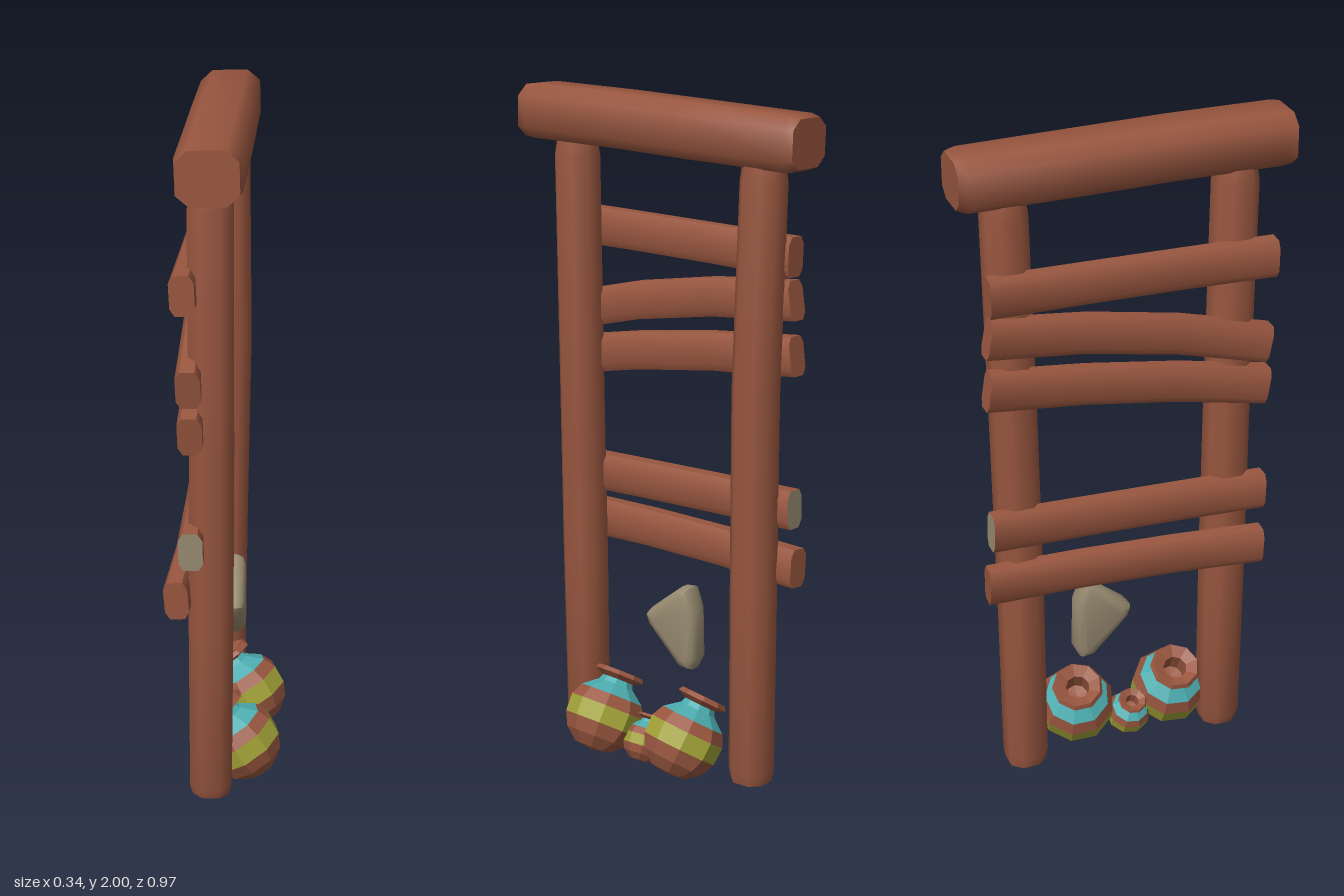
import * as THREE from 'three';
import { toCreasedNormals } from 'three/addons/utils/BufferGeometryUtils.js';

const material = (name, color) => {
  const m = new THREE.MeshStandardMaterial({ color });
  m.name = name;
  return m;
};

// Rough timber: rings of [x, y, z, scale] along a path; square < 1 makes the section boxier
function log(name, sections, rx, rz, square, mats) {
  const n = sections.length - 1;
  const geo = new THREE.CylinderGeometry(1, 1, 1, 8, n, false, Math.PI / 8);
  const first = new THREE.Vector3(...sections[0]);
  const axis = new THREE.Vector3(...sections[n]).sub(first).normalize();
  const turn = new THREE.Quaternion().setFromUnitVectors(new THREE.Vector3(0, 1, 0), axis);
  const pos = geo.attributes.position;
  const v = new THREE.Vector3();
  const k = Math.cos(Math.PI / 8);
  const shape = (a) => Math.sign(a) * Math.pow(Math.min(1, Math.abs(a) / k), square);
  for (let i = 0; i < pos.count; i++) {
    v.fromBufferAttribute(pos, i);
    const [x, y, z, s] = sections[Math.round((v.y + 0.5) * n)];
    v.set(shape(v.x) * rx * s, 0, shape(v.z) * rz * s).applyQuaternion(turn);
    pos.setXYZ(i, v.x + x, v.y + y, v.z + z);
  }
  const mesh = new THREE.Mesh(toCreasedNormals(geo, 1.0), mats);
  mesh.name = name;
  return mesh;
}

// Faceted pot: one lathe per coloured band, profile points are [radius, height]
function pot(name, bands, position, tiltX, tiltZ, scale) {
  const group = new THREE.Group();
  group.name = name;
  for (const [part, mat, profile] of bands) {
    const lathe = new THREE.LatheGeometry(profile.map((p) => new THREE.Vector2(...p)), 9);
    const geo = lathe.toNonIndexed();
    geo.computeVertexNormals();
    const mesh = new THREE.Mesh(geo, mat);
    mesh.name = part;
    group.add(mesh);
  }
  group.position.set(...position);
  group.rotation.set(tiltX, 0, tiltZ);
  group.scale.setScalar(scale);
  return group;
}

export function createModel() {
  const model = new THREE.Group();
  model.name = 'ladderWithPots';
  const wood = material('brownWood', 0x98563f);
  const teal = material('tealGlaze', 0x4cadb0);
  const olive = material('oliveGlaze', 0xa2a238);
  const stone = material('stone', 0x978a70);

  // Top beam
  model.add(log('topBeam', [
    [-0.01, 1.907, -0.48, 0.86], [-0.011, 1.905, -0.45, 0.98], [-0.02, 1.912, -0.1, 1],
    [-0.026, 1.918, 0.15, 1], [-0.036, 1.92, 0.45, 1], [-0.037, 1.92, 0.485, 0.95],
  ], 0.088, 0.078, 0.6, wood));

  // Upright posts
  model.add(log('frontPost', [
    [-0.04, 0.03, 0.315, 0.85], [-0.04, 0.06, 0.315, 0.98], [-0.038, 0.6, 0.32, 1.02],
    [-0.035, 1.1, 0.325, 1], [-0.036, 1.8, 0.335, 1], [-0.036, 1.85, 0.335, 0.88],
  ], 0.061, 0.061, 0.85, wood));
  model.add(log('backPost', [
    [-0.02, 0.025, -0.31, 0.9], [-0.02, 0.06, -0.31, 1], [-0.016, 0.6, -0.313, 1.02],
    [-0.006, 1.2, -0.32, 1.02], [-0.012, 1.79, -0.335, 1], [-0.012, 1.84, -0.335, 0.9],
  ], 0.06, 0.061, 0.85, wood));

  // Rungs: [front x, front y, front z, back y, back z, mid rise, cap material]
  const rungs = [
    [-0.108, 1.587, 0.43, 1.582, -0.405, 0.002, wood],
    [-0.094, 1.318, 0.42, 1.462, -0.41, 0.022, wood],
    [-0.09, 1.185, 0.42, 1.305, -0.415, 0.014, wood],
    [-0.09, 0.842, 0.42, 0.86, -0.415, 0.002, stone],
    [-0.132, 0.683, 0.4, 0.688, -0.43, 0.008, wood],
  ];
  rungs.forEach(([x, y0, z0, y1, z1, rise, cap], i) => {
    const backX = -0.068;
    const mid = (t) => [x + (backX - x) * t, y0 + (y1 - y0) * t + rise, z0 + (z1 - z0) * t, 0.98];
    model.add(log('rung' + (i + 1), [[backX, y1, z1, 1], mid(0.66), mid(0.33), [x, y0, z0, 1]],
      0.034, 0.056, 0.55, [wood, cap, cap]));
  });

  // Rounded triangular stone
  const outline = [[-0.037, 0.48], [-0.02, 0.5], [0.085, 0.583], [0.115, 0.585], [0.138, 0.52],
    [0.142, 0.37], [0.125, 0.335], [0.085, 0.34], [-0.025, 0.45]];
  const slab = new THREE.ExtrudeGeometry(
    new THREE.Shape(outline.map((p) => new THREE.Vector2(...p))),
    { depth: 0.03, bevelThickness: 0.025, bevelSize: 0.025, bevelOffset: -0.025, bevelSegments: 2 });
  slab.rotateY(Math.PI / 2);
  const pebble = new THREE.Mesh(toCreasedNormals(slab, 0.9), stone);
  pebble.name = 'triangularStone';
  pebble.position.x = -0.008;
  model.add(pebble);

  // Pots leaning back towards the rungs
  const bands = [
    ['potBase', wood, [[0, -0.112], [0.055, -0.105], [0.094, -0.072], [0.114, -0.03]]],
    ['potStripe', olive, [[0.114, -0.03], [0.116, 0.025]]],
    ['potShoulder', wood, [[0.116, 0.025], [0.098, 0.062]]],
    ['potNeck', teal, [[0.098, 0.062], [0.055, 0.096], [0.048, 0.112]]],
    ['potRim', wood, [[0.048, 0.112], [0.078, 0.125], [0.07, 0.138], [0.036, 0.122], [0.034, 0.06], [0, 0.055]]],
  ];
  model.add(pot('frontPot', bands, [0.043, 0.122, 0.187], -0.06, 0.55, 1));
  model.add(pot('backPot', bands, [0.053, 0.125, -0.117], -0.18, 0.55, 1));
  model.add(pot('smallPot', bands, [0.026, 0.068, 0.045], 0, 0.5, 0.57));

  return model;
}
